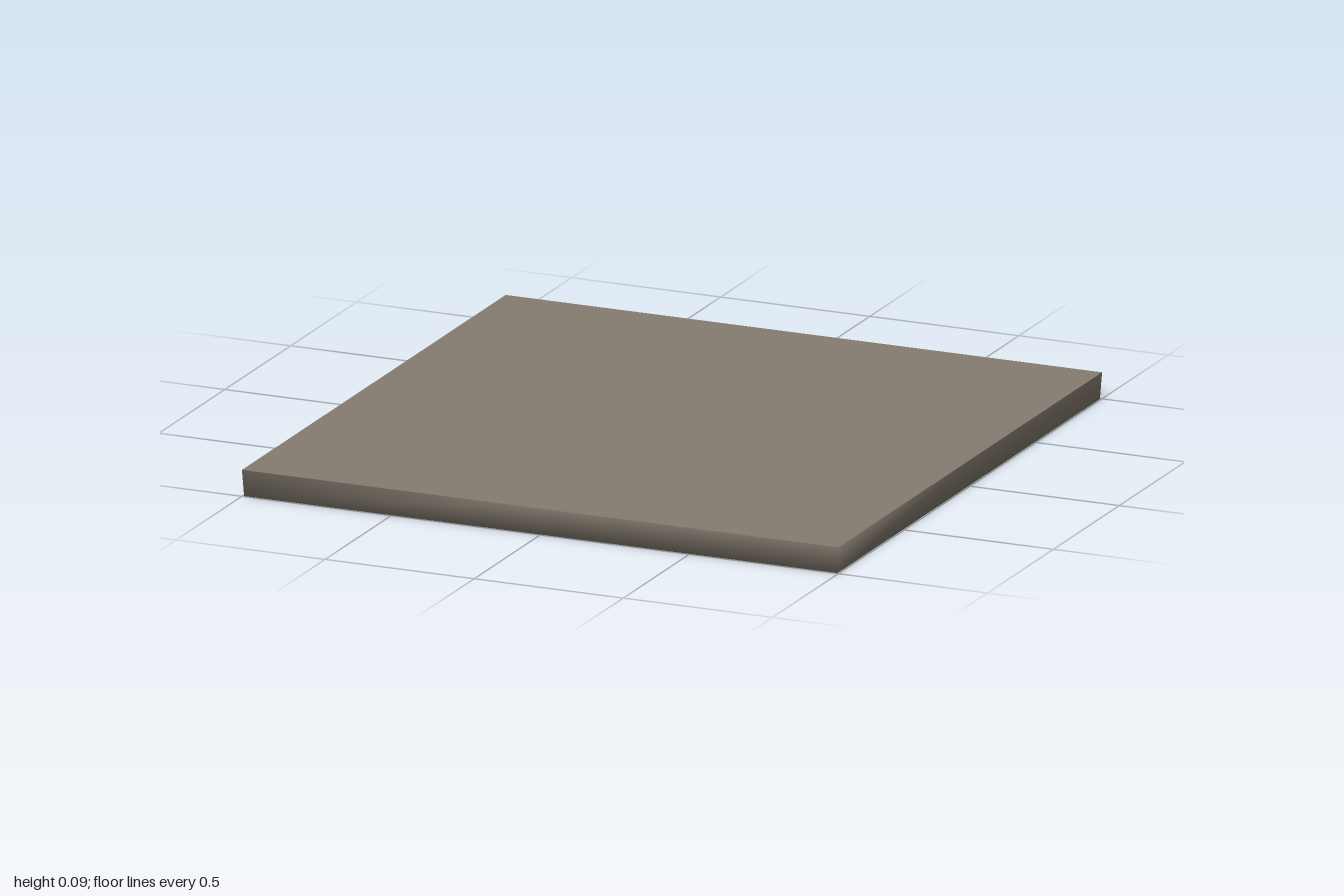
import * as THREE from 'three';
import { mergeVertices } from 'three/addons/utils/BufferGeometryUtils.js';

const HEIGHT = 0.085;   // slab thickness
const TOP = 1;          // half width at the top
const BASE = 0.995;     // half width at the foot
const BEVEL = 0.07;     // width of the sloped rim around each recess
const DEPTH = 0.025;    // depth of the recesses underneath

// Four corners of a level square, in order seen from above
const square = (cx, cz, half, y) =>
  [[-1, 1], [1, 1], [1, -1], [-1, -1]].map(([x, z]) =>
    new THREE.Vector3(cx + x * half, y, cz + z * half));

// Smooth-shaded geometry from a list of four-cornered faces
function smoothFaces(quads) {
  const points = quads.flatMap(([a, b, c, d]) => [a, b, c, a, c, d]);
  const geometry = mergeVertices(new THREE.BufferGeometry().setFromPoints(points), 1e-4);
  geometry.computeVertexNormals();
  return geometry;
}

export function createModel() {
  const group = new THREE.Group();
  const stone = new THREE.MeshStandardMaterial({ color: 0x857c70 });
  stone.name = 'grey brown';
  const add = (name, geometry) => {
    const mesh = new THREE.Mesh(geometry, stone);
    mesh.name = name;
    group.add(mesh);
    return mesh;
  };

  // Flat top
  add('topSurface', new THREE.PlaneGeometry(2 * TOP, 2 * TOP).rotateX(-Math.PI / 2)).position.y = HEIGHT;

  // Slightly tapered sides, each split at its middle
  const quads = [];
  const foot = square(0, 0, BASE, 0), head = square(0, 0, TOP, HEIGHT);
  for (let i = 0; i < 4; i++) {
    const j = (i + 1) % 4;
    const footMid = foot[i].clone().lerp(foot[j], 0.5);
    const headMid = head[i].clone().lerp(head[j], 0.5);
    quads.push([foot[i], footMid, headMid, head[i]], [footMid, foot[j], head[j], headMid]);
  }

  // Underside: four recesses with mitred slopes, leaving a rim and crossed ribs
  const half = BASE / 2;
  for (const cx of [-half, half]) {
    for (const cz of [-half, half]) {
      const rim = square(cx, cz, half, 0);
      const inner = square(cx, cz, half - BEVEL, DEPTH);
      for (let i = 0; i < 4; i++) {
        const j = (i + 1) % 4;
        quads.push([rim[j], rim[i], inner[i], inner[j]]);
      }
      const size = 2 * (half - BEVEL);
      add('recessPanel', new THREE.PlaneGeometry(size, size).rotateX(Math.PI / 2))
        .position.set(cx, DEPTH, cz);
    }
  }
  add('sidesAndRibs', smoothFaces(quads));

  return group;
}
